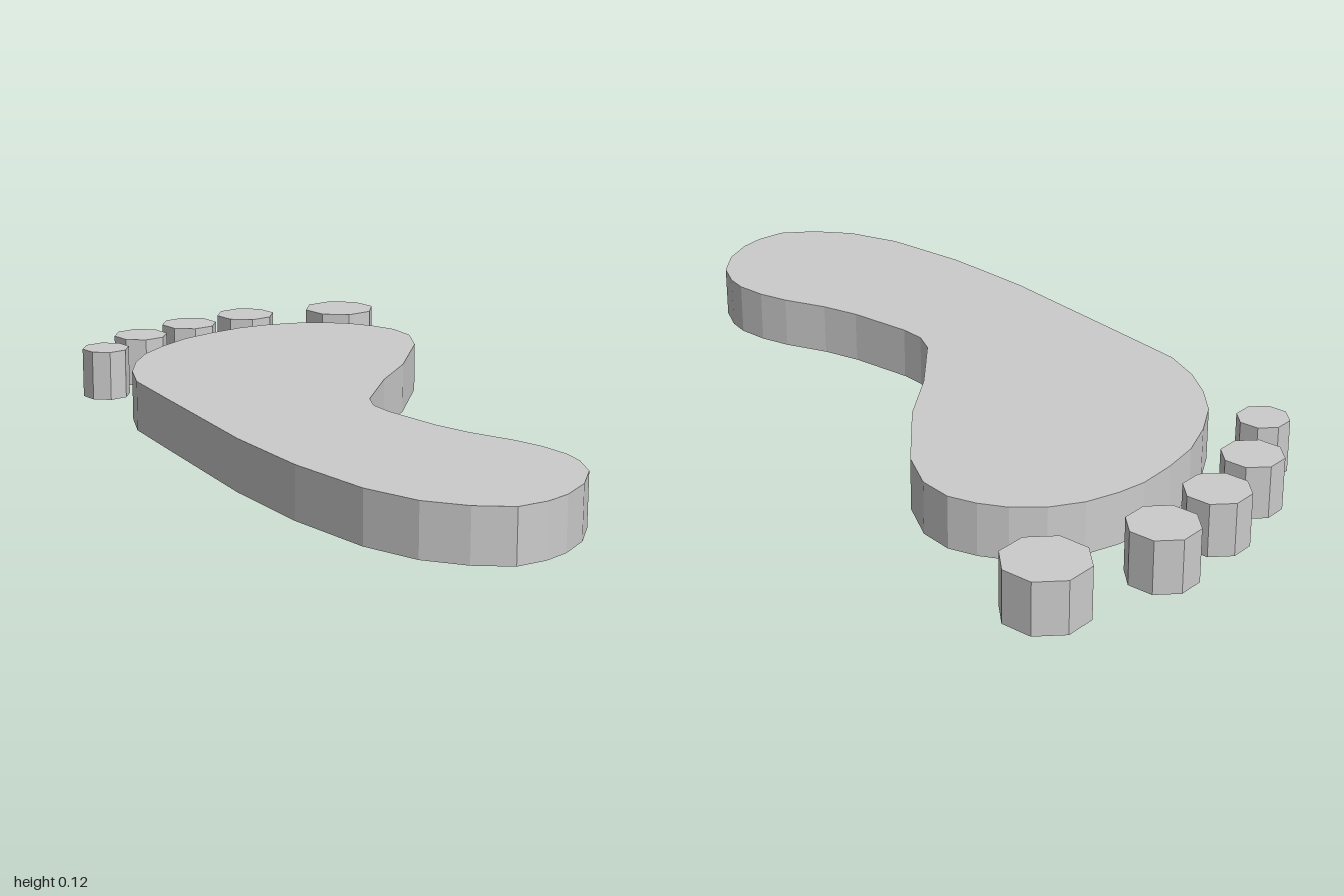
import * as THREE from 'three';

const HEIGHT = 0.122;

// Sole outline as (x, z) points, from the front of the ball round the arch and heel
const OUTLINE = [
  [0.16, -0.74], [0.24, -0.725], [0.31, -0.69], [0.36, -0.645], [0.4, -0.59],
  [0.417, -0.51], [0.395, -0.4], [0.295, -0.195], [0.2, -0.055], [0.11, 0.115],
  [0.1, 0.175], [0.115, 0.235], [0.18, 0.38], [0.23, 0.46], [0.3, 0.545],
  [0.34, 0.61], [0.367, 0.68], [0.372, 0.735], [0.36, 0.81], [0.315, 0.89],
  [0.255, 0.95], [0.2, 0.982], [0.13, 1], [0.045, 0.97], [-0.04, 0.91],
  [-0.12, 0.8], [-0.205, 0.6], [-0.27, 0.37], [-0.34, 0], [-0.377, -0.2],
  [-0.367, -0.305], [-0.34, -0.395], [-0.3, -0.48], [-0.235, -0.56],
  [-0.16, -0.63], [-0.077, -0.68], [0.01, -0.72], [0.08, -0.735],
];

// Toes from big to little: name, x, z, radius, height
const TOES = [
  ['bigToe', 0.342, -0.905, 0.096, 0.12],
  ['secondToe', 0.066, -0.888, 0.079, HEIGHT],
  ['middleToe', -0.11, -0.812, 0.074, HEIGHT],
  ['fourthToe', -0.264, -0.71, 0.07, HEIGHT],
  ['littleToe', -0.383, -0.572, 0.06, 0.124],
];

export function createModel() {
  const model = new THREE.Group();
  model.name = 'footprint';
  const material = new THREE.MeshStandardMaterial({ color: 0xcccccc, flatShading: true });

  // Flat slab of the sole, laid down so its depth becomes height
  const shape = new THREE.Shape(OUTLINE.map(([x, z]) => new THREE.Vector2(x, z)));
  const soleGeometry = new THREE.ExtrudeGeometry(shape, { depth: HEIGHT, bevelEnabled: false });
  soleGeometry.rotateX(Math.PI / 2).translate(0, HEIGHT, 0);
  const sole = new THREE.Mesh(soleGeometry, material);
  sole.name = 'sole';
  model.add(sole);

  // Eight-sided toe pads
  for (const [name, x, z, radius, height] of TOES) {
    const toe = new THREE.Mesh(new THREE.CylinderGeometry(radius, radius, height, 8), material);
    toe.name = name;
    toe.position.set(x, height / 2, z);
    model.add(toe);
  }
  return model;
}
